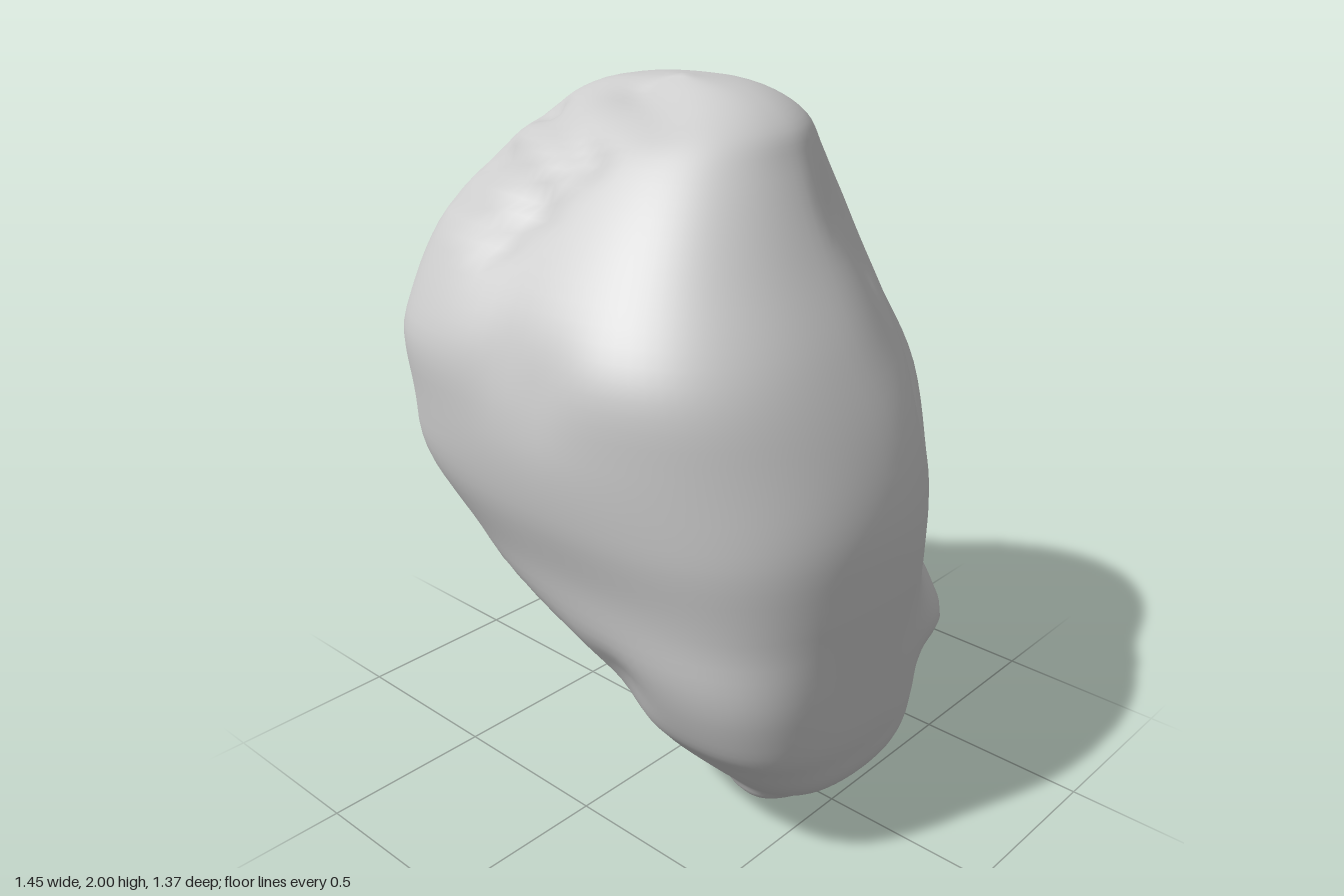
import * as THREE from 'three';
import { mergeVertices } from 'three/addons/utils/BufferGeometryUtils.js';

// Outline by height: y, left x, right x, front z, back z
const LEVELS = [
  [0, 0.31, 0.31, -0.06, -0.06],
  [0.03, 0.16, 0.43, 0.16, -0.25],
  [0.1, 0.0, 0.53, 0.22, -0.30],
  [0.2, -0.14, 0.63, 0.32, -0.38],
  [0.3, -0.38, 0.66, 0.41, -0.46],
  [0.4, -0.52, 0.68, 0.49, -0.50],
  [0.6, -0.61, 0.70, 0.57, -0.58],
  [0.8, -0.69, 0.72, 0.61, -0.63],
  [1.0, -0.73, 0.72, 0.67, -0.66],
  [1.2, -0.71, 0.67, 0.69, -0.68],
  [1.4, -0.68, 0.58, 0.67, -0.59],
  [1.6, -0.60, 0.46, 0.54, -0.49],
  [1.8, -0.47, 0.34, 0.37, -0.38],
  [1.9, -0.40, 0.27, 0.25, -0.31],
  [1.97, -0.29, 0.14, 0.11, -0.17],
  [2.0, -0.04, -0.04, 0.04, 0.04],
];

// Fullness of the four diagonals by height: y, front right, front left, back left, back right
const DIAGONALS = [
  [0, 0, -0.12, 0.02, 0],
  [0.3, 0.07, -0.15, 0.08, 0],
  [0.5, 0.07, -0.07, 0.12, 0],
  [0.75, 0.03, 0.04, 0.12, -0.08],
  [1.1, 0, 0.10, 0.04, -0.09],
  [1.4, 0.02, 0.14, 0.03, -0.09],
  [1.7, 0.02, 0.23, 0.02, -0.06],
  [2, 0, 0.18, 0, -0.03],
];

// Dents (positive depth) and bumps (negative): from, to, radius, depth
const MARKS = [
  // scored patch near the top
  [[-0.36, 1.88, 0.20], [-0.06, 1.79, 0.33], 0.045, 0.045],
  [[-0.40, 1.78, 0.36], [-0.14, 1.70, 0.45], 0.045, 0.04],
  [[-0.42, 1.70, 0.47], [-0.20, 1.62, 0.52], 0.04, 0.03],
  [[-0.12, 1.92, 0.10], [0.05, 1.85, 0.17], 0.07, 0.045],
  // shallow hollow on the front, and the undercut below it
  [[-0.05, 1.38, 0.68], [0.05, 1.36, 0.68], 0.12, 0.02],
  [[-0.40, 0.52, 0.45], [-0.08, 0.42, 0.48], 0.20, 0.07],
  [[0.10, 0.35, 0.45], [0.18, 0.50, 0.53], 0.10, 0.03],
  [[0.10, 0.21, 0.30], [0.10, 0.22, 0.30], 0.07, -0.02],
  // hollows on the right flank
  [[0.36, 1.68, -0.15], [0.42, 1.58, -0.26], 0.12, 0.04],
  [[0.60, 1.17, -0.28], [0.44, 1.34, -0.47], 0.09, 0.055],
  [[0.60, 0.78, -0.32], [0.58, 0.70, -0.40], 0.11, 0.045],
  // lump and creases low on the back right
  [[0.42, 0.49, -0.42], [0.56, 0.50, -0.36], 0.10, -0.055],
  [[0.25, 0.36, -0.45], [0.56, 0.37, -0.34], 0.06, 0.035],
  [[0.10, 0.63, -0.58], [0.42, 0.60, -0.48], 0.06, 0.03],
  [[0.30, 0.14, -0.32], [0.48, 0.15, -0.26], 0.06, 0.025],
  // hollows on the back left
  [[-0.36, 1.48, -0.48], [-0.46, 1.47, -0.40], 0.11, 0.05],
  [[-0.27, 1.15, -0.66], [-0.15, 0.95, -0.66], 0.11, 0.035],
].map(([a, b, r, d]) => ({
  line: new THREE.Line3(new THREE.Vector3(...a), new THREE.Vector3(...b)), r, d,
}));

const AROUND = 96, UP = 84;

// Fullness of one diagonal at a height, eased between rows
function fullness(y, column) {
  const i = Math.max(1, DIAGONALS.findIndex(row => row[0] >= y));
  const a = DIAGONALS[i - 1], b = DIAGONALS[i];
  return THREE.MathUtils.lerp(a[column], b[column], THREE.MathUtils.smoothstep(y, a[0], b[0]));
}

function rockGeometry() {
  const curve = (a, b) => new THREE.CatmullRomCurve3(
    LEVELS.map(l => new THREE.Vector3(l[0], l[a], l[b])), false, 'catmullrom', 0.5);
  const xCurve = curve(1, 2), zCurve = curve(3, 4);
  const pos = [], index = [];
  const p = new THREE.Vector3(), near = new THREE.Vector3(), inward = new THREE.Vector3();
  const round = v => Math.sign(v) * Math.abs(v) ** 0.93; // slightly squared ellipse

  for (let i = 0; i <= UP; i++) {
    const { x, y: left, z: right } = xCurve.getPoint(i / UP);
    const { y: front, z: back } = zCurve.getPoint(i / UP);
    const y = THREE.MathUtils.clamp(x, 0, 2);
    const half = (right - left) / 2;
    // the lower body leans toward +x, leaving the left front undercut
    const cx = (left + right) / 2 + half * 0.35 * Math.max(0, 1 - y);
    const cz = (front + back) / 2;
    const full = [1, 2, 3, 4].map(column => fullness(y, column));
    for (let j = 0; j < AROUND; j++) {
      const a = (j / AROUND) * Math.PI * 2;
      const swell = 1 + full[Math.floor((4 * j) / AROUND)] * Math.sin(2 * a) ** 2;
      const c = round(Math.cos(a)) * swell, s = round(Math.sin(a)) * swell;
      p.set(cx + c * (c > 0 ? right - cx : cx - left), y, cz + s * (s > 0 ? front - cz : cz - back));
      // the right flank bulges a little forward
      p.z += 0.14 * Math.max(0, c) ** 2 * half;
      // press the marks toward the core
      inward.set(0.05, 0.6 + 0.4 * y, 0).sub(p).normalize();
      let push = 0;
      for (const m of MARKS) {
        m.line.closestPointToPoint(p, true, near);
        push += m.d * Math.exp(-near.distanceToSquared(p) / (m.r * m.r));
      }
      if (i > 0 && i < UP) p.addScaledVector(inward, push);
      pos.push(p.x, p.y, p.z);

      const k = (j + 1) % AROUND, r0 = i * AROUND, r1 = r0 + AROUND;
      if (i > 0 && i < UP) index.push(r0 + j, r1 + j, r0 + k);
      if (i < UP - 1) index.push(r0 + k, r1 + j, r1 + k);
    }
  }
  const g = new THREE.BufferGeometry();
  g.setAttribute('position', new THREE.Float32BufferAttribute(pos, 3));
  g.setIndex(index);
  const merged = mergeVertices(g, 1e-5);
  merged.computeVertexNormals();
  return merged;
}

export function createModel() {
  const group = new THREE.Group();
  group.name = 'boulder';
  const rock = new THREE.Mesh(rockGeometry(), new THREE.MeshStandardMaterial({ color: 0xcccccc }));
  rock.name = 'rock';
  group.add(rock);
  return group;
}
